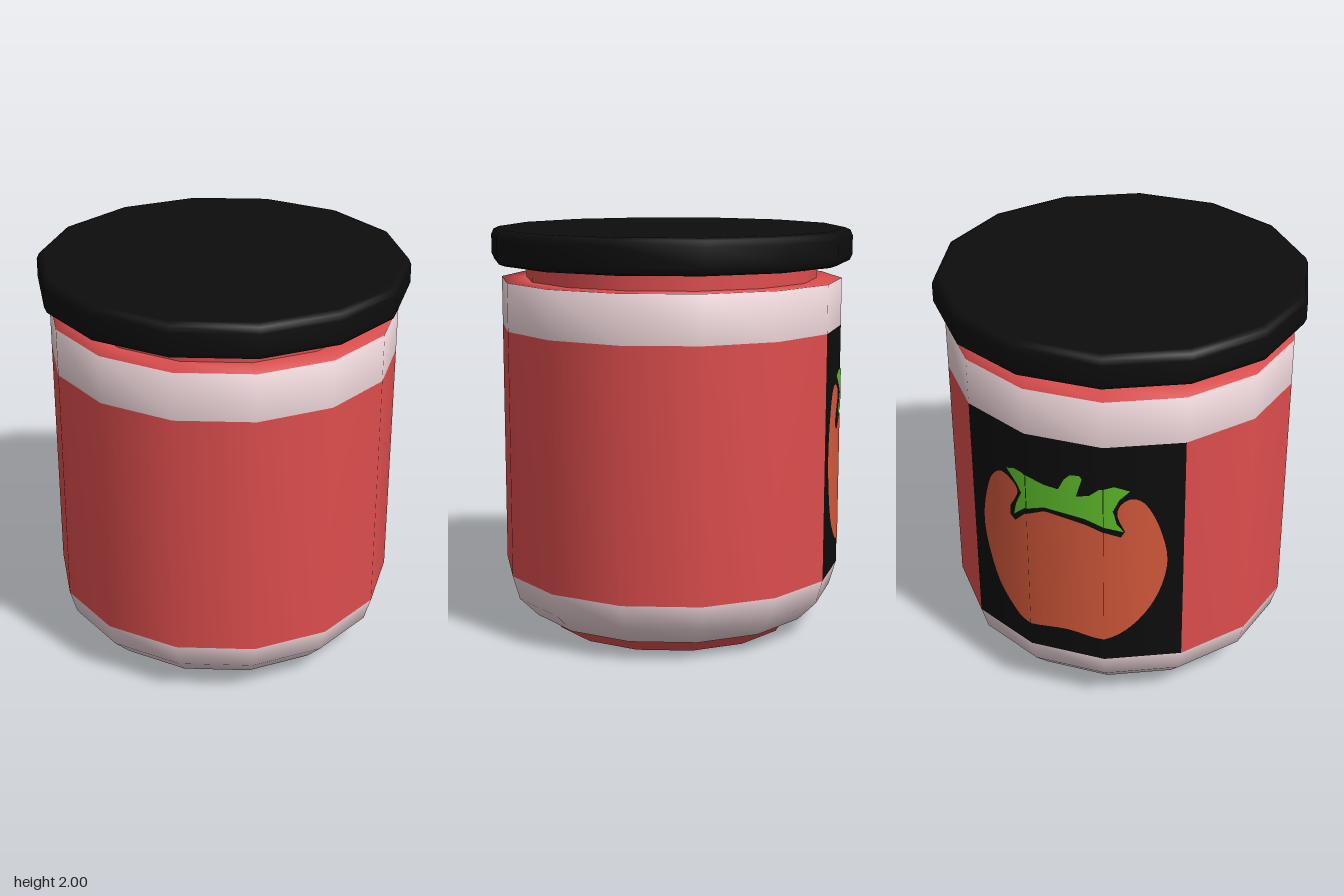
import * as THREE from 'three';

const SIDES = 14;
const STEP = (Math.PI * 2) / SIDES;
const R = 0.85;                                // body radius at the corners
const HALF = R * Math.sin(STEP / 2);           // half the width of one wall face
const APOTHEM = R * Math.cos(STEP / 2);

const material = (name, color) => {
  const m = new THREE.MeshStandardMaterial({ color });
  m.name = name;
  return m;
};
const vec = (pts) => pts.map(([x, y]) => new THREE.Vector2(x, y));

// Keep the part of a polygon on one side of a vertical line
function clip(pts, x, sign) {
  const out = [];
  pts.forEach((a, i) => {
    const b = pts[(i + 1) % pts.length];
    const da = (a.x - x) * sign, db = (b.x - x) * sign;
    if (da >= 0) out.push(a);
    if (da * db < 0) out.push(a.clone().lerp(b, da / (da - db)));
  });
  return out;
}

// Wrap a flat outline (u along the wall, y up) over the three label faces
function wrapOnLabel(name, outline, mat, lift) {
  const group = new THREE.Group();
  group.name = name;
  for (let k = -1; k <= 1; k++) {
    const centre = k * HALF * 2;
    const pts = clip(clip(outline, centre - HALF, 1), centre + HALF, -1);
    if (pts.length < 3) continue;
    const geo = new THREE.ShapeGeometry(new THREE.Shape(pts));
    geo.translate(-centre, 0, APOTHEM + lift);
    // Bend the normals so the shading follows the round wall
    const pos = geo.attributes.position, nor = geo.attributes.normal;
    for (let i = 0; i < pos.count; i++) {
      const t = (pos.getX(i) / HALF) * (STEP / 2);
      nor.setXYZ(i, Math.sin(t), 0, Math.cos(t));
    }
    const mesh = new THREE.Mesh(geo, mat);
    mesh.name = name + 'Panel';
    mesh.rotation.y = Math.PI * 1.5 + k * STEP;
    group.add(mesh);
  }
  return group;
}

export function createModel() {
  const red = material('red', 0xdf4e4e);
  const pink = material('palePink', 0xf0d8dc);
  const black = material('black', 0x0d0d0d);
  const orange = material('tomatoOrange', 0xd65a3c);
  const green = material('leafGreen', 0x5fbe2b);

  const model = new THREE.Group();
  model.name = 'sauceJar';

  // Jar: [radius, height, material of the ring above]; repeated points make creases
  const RED = 0, PINK = 1, BLACK = 2, WALL = 3;
  const rings = [
    [0, 0.05, RED], [0.53, 0.04, RED], [0.56, 0, RED], [0.6, 0, RED],
    [0.6, 0.045, RED], [0.72, 0.08, PINK], [0.815, 0.175, PINK],
    [R, 0.295, WALL], [R, 1.515, PINK], [R, 1.75, RED],
    [0.725, 1.75, RED], [0.725, 1.75, RED], [0.725, 1.84, RED],
  ];
  const jarGeo = new THREE.LatheGeometry(vec(rings), SIDES);
  const rows = rings.length - 1;
  for (let i = 0; i < SIDES; i++) {
    for (let j = 0; j < rows; j++) {
      let m = rings[j][2];
      if (m === WALL) m = i >= 9 && i <= 11 ? BLACK : RED;   // label covers three faces
      jarGeo.addGroup((i * rows + j) * 6, 6, m);
    }
  }
  const jar = new THREE.Mesh(jarGeo, [red, pink, black]);
  jar.name = 'jar';
  model.add(jar);

  // Lid with rounded rims
  const lidGeo = new THREE.LatheGeometry(vec([
    [0, 1.83], [0.86, 1.83], [0.888, 1.84], [0.9, 1.868],
    [0.9, 1.96], [0.888, 1.988], [0.86, 2], [0, 2],
  ]), SIDES);
  const lid = new THREE.Mesh(lidGeo, black);
  lid.name = 'lid';
  model.add(lid);

  // Tomato: rounded sides and bottom, notched top
  const tomato = new THREE.Shape();
  tomato.moveTo(-0.3, 1.07);
  tomato.splineThru(vec([
    [-0.245, 1.17], [-0.28, 1.22], [-0.366, 1.235], [-0.446, 1.137], [-0.495, 0.88],
    [-0.42, 0.6], [-0.3, 0.46], [-0.2, 0.422], [0, 0.435], [0.19, 0.42], [0.33, 0.5],
    [0.44, 0.66], [0.49, 0.86], [0.455, 1.05], [0.39, 1.19], [0.325, 1.23],
    [0.27, 1.2], [0.255, 1.14], [0.29, 1.05],
  ]));
  for (const [x, y] of [[0.27, 1.02], [0.2, 1.05], [0.1, 1.08], [-0.1, 1.11], [-0.2, 1.07], [-0.27, 1.0], [-0.3, 1.02]]) {
    tomato.lineTo(x, y);
  }
  model.add(wrapOnLabel('tomato', tomato.getPoints(4), orange, 0.003));

  // Leaves and stem
  const leaves = vec([
    [-0.318, 1.277], [-0.26, 1.3], [-0.205, 1.3], [-0.1, 1.26], [-0.03, 1.25],
    [0, 1.31], [0.03, 1.34], [0.075, 1.345], [0.09, 1.33], [0.06, 1.23],
    [0.12, 1.245], [0.17, 1.29], [0.24, 1.305], [0.315, 1.275], [0.265, 1.23],
    [0.235, 1.17], [0.25, 1.1], [0.285, 1.05], [0.2, 1.08], [0.1, 1.11],
    [-0.1, 1.13], [-0.2, 1.1], [-0.277, 1.03], [-0.26, 1.1], [-0.22, 1.18], [-0.25, 1.22],
  ]).reverse();
  model.add(wrapOnLabel('tomatoLeaves', leaves, green, 0.005));

  return model;
}
